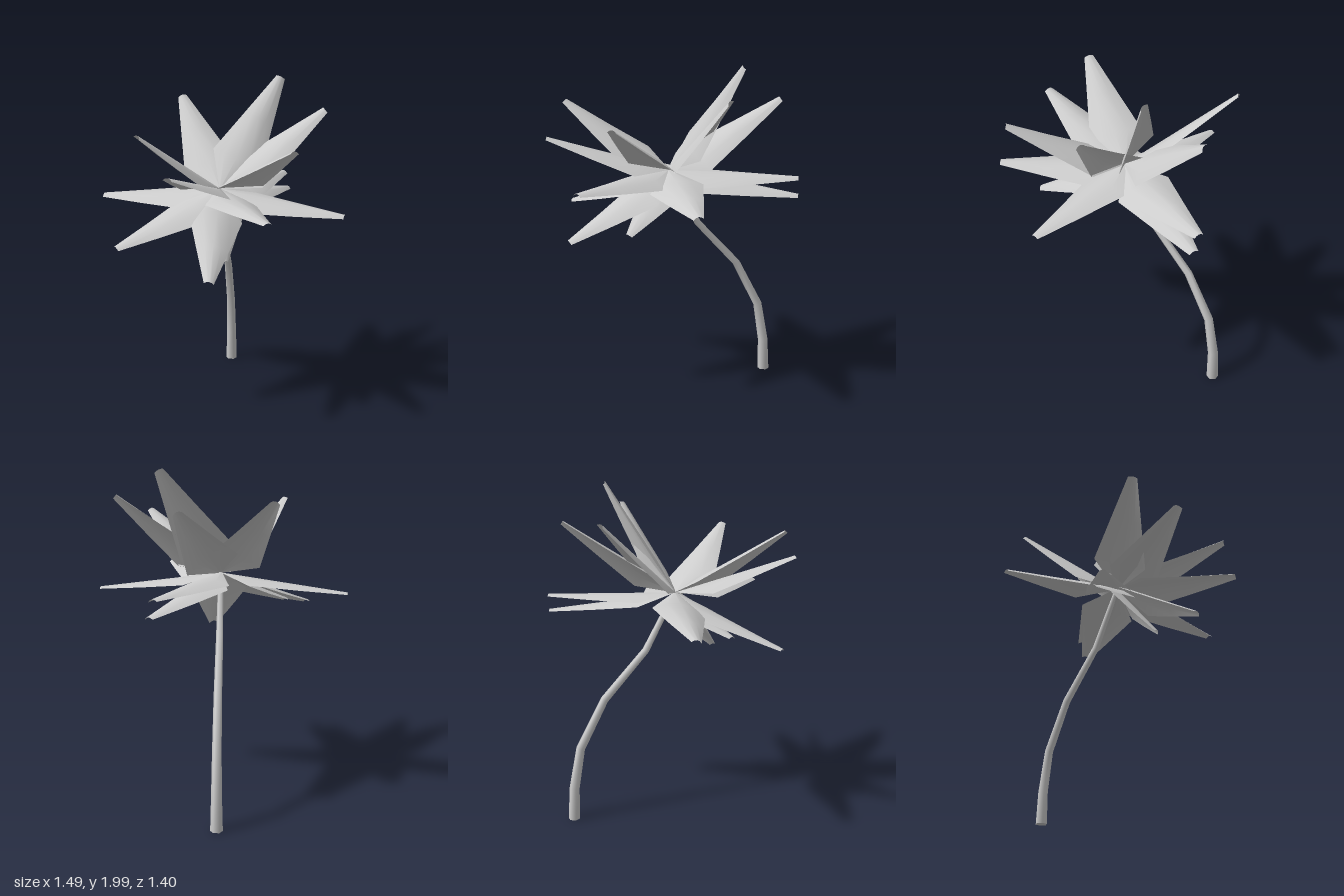
import * as THREE from 'three';

const grey = new THREE.MeshStandardMaterial({ color: 0xcccccc, side: THREE.DoubleSide });
grey.name = 'palm grey';

// Skin a surface over equally long rows of points
function loft(rows, closed = false) {
  const n = rows[0].length;
  const index = [];
  for (let i = 0; i < rows.length - 1; i++) {
    for (let j = 0; j < (closed ? n : n - 1); j++) {
      const k = (j + 1) % n;
      const a = i * n + j, b = i * n + k, c = a + n, d = b + n;
      index.push(a, c, b, b, c, d);
    }
  }
  const geometry = new THREE.BufferGeometry().setFromPoints(rows.flat());
  geometry.setIndex(index);
  geometry.computeVertexNormals();
  return geometry;
}

const CROWN = new THREE.Vector3(0, 1.36, 0);

// Frond tips: x, y, z, and roll about the midrib (positive lifts the right-hand edge)
const FRONDS = [
  [-0.31, 1.84, -0.54, 0.33],
  [0.21, 1.79, -0.62, -0.5],
  [0.34, 1.335, -0.69, -0.15],
  [0.365, 1.235, -0.68, -0.15],
  [0.33, 1.99, -0.32, -0.75],
  [0.60, 1.83, -0.12, -0.55],
  [0.74, 1.25, 0.11, -0.15],
  [0.46, 1.69, 0.49, 0.1],
  [0.34, 1.335, 0.66, 0.1],
  [0.02, 0.985, 0.63, 0.25],
  [-0.19, 1.57, 0.69, 0.1],
  [-0.38, 1.76, 0.52, 0.3],
  [-0.54, 1.11, 0.45, 0.2],
  [-0.745, 1.275, -0.16, 0.2],
  [-0.40, 1.17, 0.20, 0.2],
  [0.06, 1.00, 0.28, 0.2],
];

// Position along the frond, half width, droop of the edges
const PROFILE = [[0, 0.008, 0], [0.27, 0.16, 0.05], [0.63, 0.095, 0.035], [1, 0.028, 0.015]];

function frond([x, y, z, roll]) {
  const span = new THREE.Vector3(x, y, z).sub(CROWN);
  const along = span.clone().normalize();
  const side = along.clone().cross(new THREE.Vector3(0, 1, 0)).normalize();
  side.applyAxisAngle(along, -roll);
  const up = side.clone().cross(along);
  const rows = PROFILE.map(([t, width, droop]) => [-1, -0.5, 0, 0.5, 1].map((u) =>
    CROWN.clone()
      .addScaledVector(span, t)
      .addScaledVector(side, u * width)
      .addScaledVector(up, -droop * u * u)));
  return new THREE.Mesh(loft(rows), grey);
}

// Trunk rings: y, z, radius
const TRUNK = [
  [0, -0.66, 0.036], [0.2, -0.653, 0.031], [0.45, -0.608, 0.027],
  [0.74, -0.453, 0.024], [1.02, -0.19, 0.021], [1.24, -0.07, 0.017], [1.36, -0.005, 0.013],
];

function trunk() {
  const sides = 6;
  const rows = TRUNK.map(([y, z, r], i) => {
    const [y0, z0] = TRUNK[Math.max(i - 1, 0)];
    const [y1, z1] = TRUNK[Math.min(i + 1, TRUNK.length - 1)];
    const tilt = i === 0 ? 0 : Math.atan2(z1 - z0, y1 - y0);
    return Array.from({ length: sides }, (_, j) => {
      const a = (j / sides) * Math.PI * 2;
      return new THREE.Vector3(r * Math.cos(a), 0, r * Math.sin(a))
        .applyAxisAngle(new THREE.Vector3(1, 0, 0), tilt)
        .add(new THREE.Vector3(0, y, z));
    });
  });
  return new THREE.Mesh(loft(rows, true), grey);
}

export function createModel() {
  const model = new THREE.Group();
  model.name = 'palmTree';

  const stem = trunk();
  stem.name = 'trunk';
  model.add(stem);

  // Flat underside of the trunk
  const base = new THREE.Mesh(new THREE.CircleGeometry(TRUNK[0][2], 6), grey);
  base.name = 'trunkBase';
  base.rotation.x = Math.PI / 2;
  base.position.z = TRUNK[0][1];
  model.add(base);

  const crown = new THREE.Group();
  crown.name = 'crown';
  FRONDS.forEach((spec, i) => {
    const leaf = frond(spec);
    leaf.name = `frond${i + 1}`;
    crown.add(leaf);
  });
  model.add(crown);
  return model;
}
